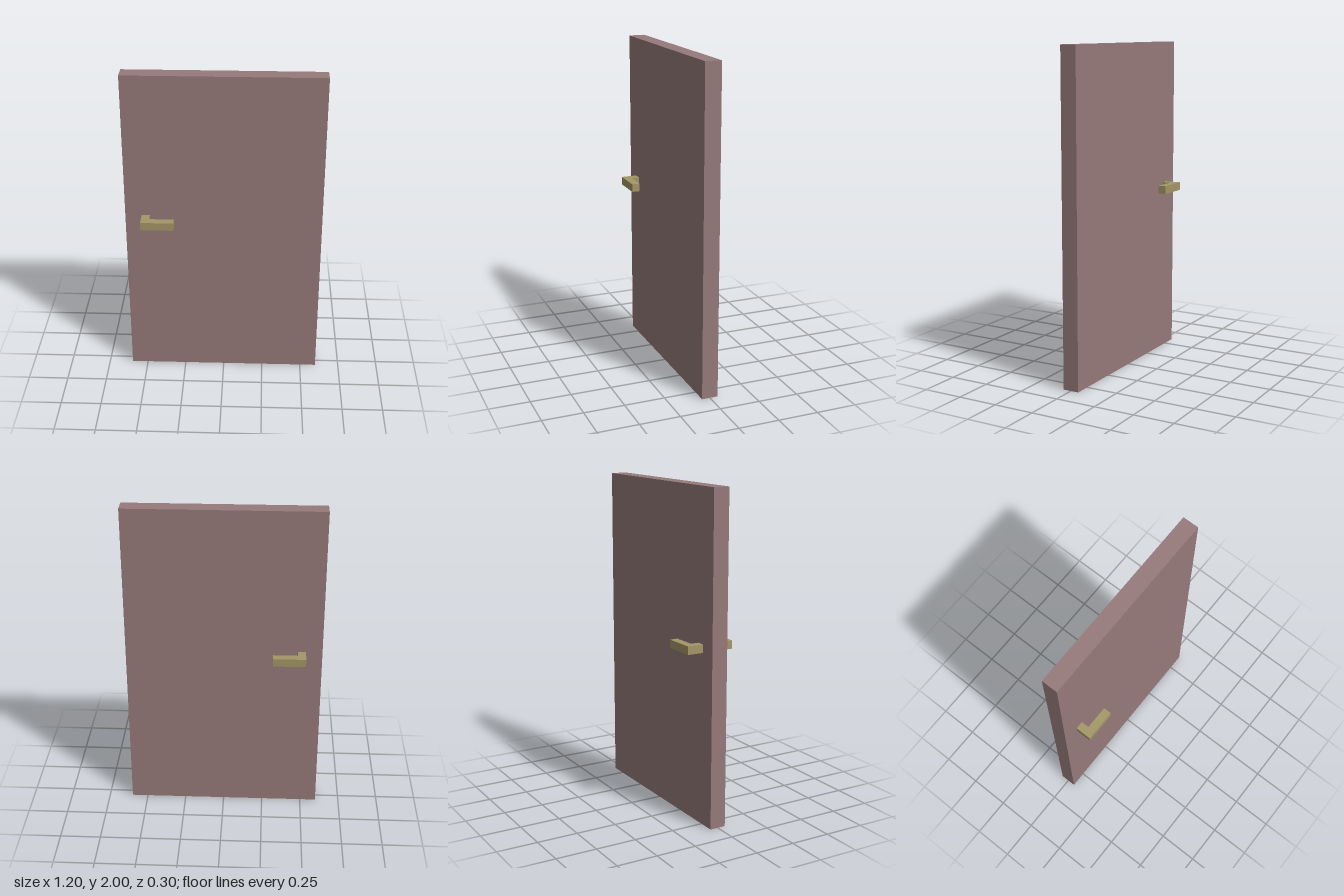
import * as THREE from 'three';

const doorMaterial = new THREE.MeshStandardMaterial({ color: 0x967a7a });
const handleMaterial = new THREE.MeshStandardMaterial({ color: 0xa39667 });

// L-shaped lever seen from above; side is +1 for the front, -1 for the back
function createHandle(side) {
  const outline = [[-0.5, 0.05], [-0.45, 0.05], [-0.45, 0.1], [-0.3, 0.1], [-0.3, 0.15], [-0.5, 0.15]];
  const shape = new THREE.Shape(outline.map(([x, z]) => new THREE.Vector2(x, z * side)));
  const geometry = new THREE.ExtrudeGeometry(shape, { depth: 0.05, bevelEnabled: false });
  geometry.rotateX(Math.PI / 2).translate(0, 1.1, 0);
  const handle = new THREE.Mesh(geometry, handleMaterial);
  handle.name = side > 0 ? 'frontHandle' : 'backHandle';
  return handle;
}

export function createModel() {
  const group = new THREE.Group();
  group.name = 'door';

  // Plain slab
  const panel = new THREE.Mesh(new THREE.BoxGeometry(1.2, 2, 0.1), doorMaterial);
  panel.name = 'doorPanel';
  panel.position.y = 1;
  group.add(panel);

  // One lever on each face
  for (const side of [1, -1]) group.add(createHandle(side));
  return group;
}
